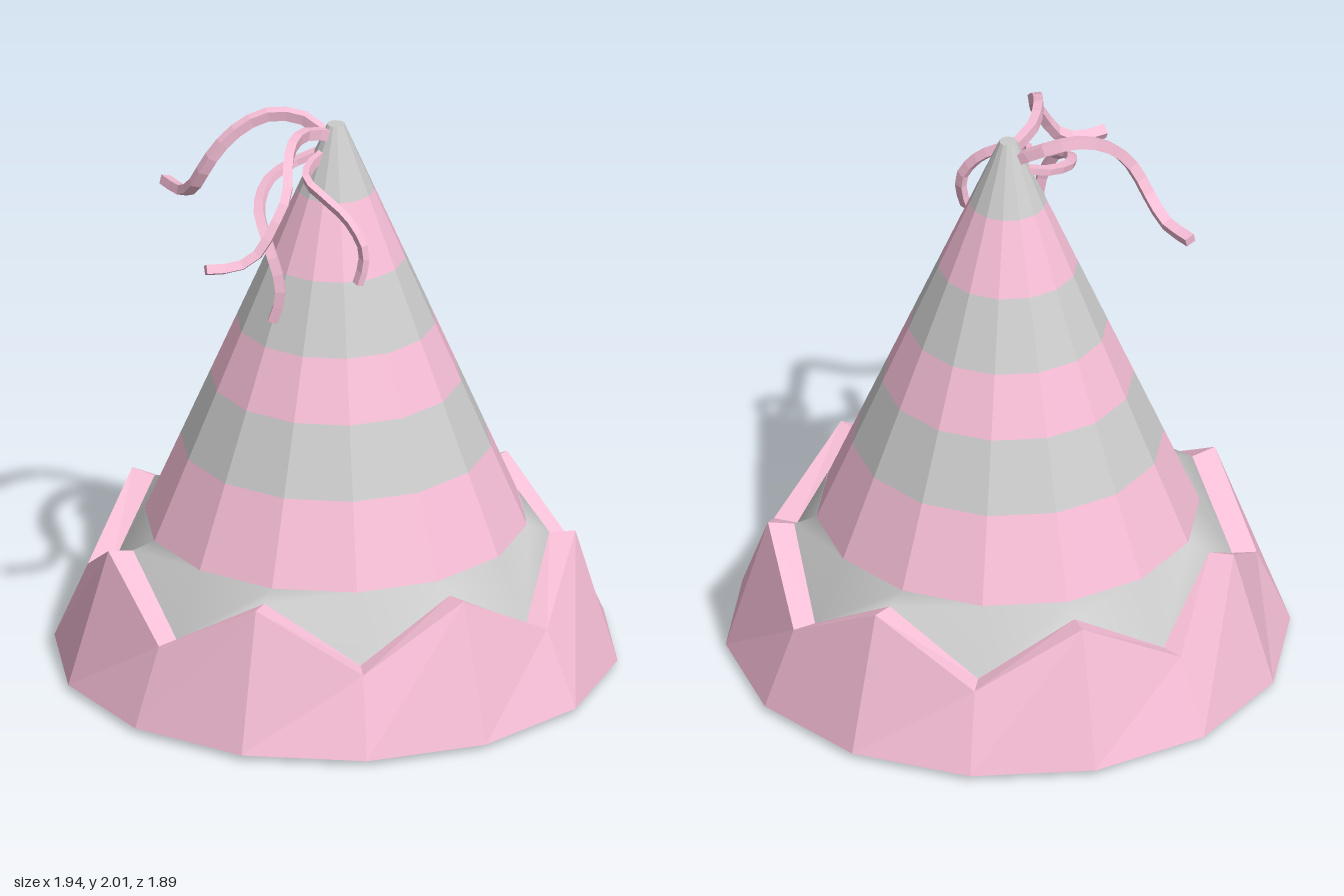
import * as THREE from 'three';
import { mergeVertices } from 'three/addons/utils/BufferGeometryUtils.js';

const SIDES = 14;
const pink = new THREE.MeshStandardMaterial({ color: 0xf6bed6, flatShading: true });
const grey = new THREE.MeshStandardMaterial({ color: 0xcccccc, flatShading: true });
const greySmooth = new THREE.MeshStandardMaterial({ color: 0xcccccc });

// Joins a list of closed rings of points with triangles.
function loft(rings) {
  const pos = [];
  for (let i = 0; i < rings.length - 1; i++) {
    const a = rings[i], b = rings[i + 1], n = a.length;
    for (let k = 0; k < n; k++) {
      const m = (k + 1) % n;
      for (const p of [a[k], b[k], a[m], a[m], b[k], b[m]]) pos.push(p.x, p.y, p.z);
    }
  }
  const g = new THREE.BufferGeometry();
  g.setAttribute('position', new THREE.Float32BufferAttribute(pos, 3));
  g.computeVertexNormals();
  return g;
}

// Horizontal ring; odd corners may take their own radius and height (zigzag).
function ring(r, y, rOdd = r, yOdd = y) {
  return Array.from({ length: SIDES }, (_, k) => {
    const a = (k / SIDES) * Math.PI * 2, R = k % 2 ? rOdd : r;
    return new THREE.Vector3(R * Math.cos(a), k % 2 ? yOdd : y, R * Math.sin(a));
  });
}

// Rectangular strip swept along a curve, with closed ends.
function streamer(points, width, thickness) {
  const curve = new THREE.CatmullRomCurve3(points.map(p => new THREE.Vector3(...p)));
  const steps = 14;
  const { normals, binormals } = curve.computeFrenetFrames(steps);
  const rings = [];
  for (let i = 0; i <= steps; i++) {
    const c = curve.getPointAt(i / steps);
    const section = [[1, 1], [-1, 1], [-1, -1], [1, -1]].map(([u, v]) => c.clone()
      .addScaledVector(normals[i], u * width / 2)
      .addScaledVector(binormals[i], -v * thickness / 2));
    const tip = [c, c, c, c];
    if (i === 0) rings.push(tip);
    rings.push(section);
    if (i === steps) rings.push(tip);
  }
  return loft(rings);
}

export function createModel() {
  const hat = new THREE.Group();
  hat.name = 'partyHat';
  const add = (name, geometry, material) => {
    const mesh = new THREE.Mesh(geometry, material);
    mesh.name = name;
    hat.add(mesh);
  };

  // striped cone
  const coneRadius = y => 0.03 + (1.98 - y) * 0.428;
  const levels = [0.51, 0.8, 1.04, 1.25, 1.49, 1.74, 1.98];
  for (let i = 0; i < levels.length - 1; i++) {
    const [y0, y1] = [levels[i], levels[i + 1]];
    add('coneStripe' + (i + 1), loft([ring(coneRadius(y0), y0), ring(coneRadius(y1), y1)]),
      i % 2 ? grey : pink);
  }
  add('coneTip', loft([ring(0.03, 1.98), ring(0, 1.98)]), grey);

  // hollow inside and underside of the rim
  add('coneInside', loft([ring(0, 1.93), ring(0.8, 0.05), ring(0.84, 0), ring(0.97, 0.02)]), grey);

  // brim with a zigzag top edge
  const outerEdge = ring(0.855, 0.29, 0.825, 0.5);
  const innerEdge = ring(0.77, 0.29, 0.735, 0.49);
  add('brim', loft([ring(0.97, 0.02), outerEdge, innerEdge]), pink);

  // skirt between the brim and the cone
  const skirt = loft([innerEdge, ring(coneRadius(0.51), 0.515)]);
  skirt.deleteAttribute('normal');
  const smoothSkirt = mergeVertices(skirt);
  smoothSkirt.computeVertexNormals();
  add('skirt', smoothSkirt, greySmooth);

  // streamers hanging from the tip
  const paths = [
    [[-0.01, 1.91, -0.02], [-0.08, 1.97, -0.1], [-0.2, 1.985, -0.14], [-0.32, 1.93, -0.15],
      [-0.4, 1.84, -0.16], [-0.44, 1.73, -0.21], [-0.45, 1.67, -0.3], [-0.47, 1.66, -0.43]],
    [[-0.01, 1.94, 0], [-0.12, 1.975, 0.04], [-0.2, 1.985, 0.13], [-0.25, 1.96, 0.22],
      [-0.29, 1.88, 0.32], [-0.35, 1.79, 0.355], [-0.41, 1.7, 0.36], [-0.48, 1.66, 0.35], [-0.59, 1.66, 0.34]],
    [[-0.02, 1.88, -0.03], [-0.14, 1.84, -0.04], [-0.24, 1.81, 0], [-0.32, 1.76, 0.12],
      [-0.335, 1.69, 0.25], [-0.31, 1.56, 0.305], [-0.31, 1.49, 0.305], [-0.33, 1.41, 0.29]],
    [[-0.02, 1.89, 0], [-0.11, 1.86, 0.05], [-0.15, 1.84, 0.13], [-0.12, 1.81, 0.21],
      [-0.06, 1.75, 0.29], [-0.02, 1.66, 0.34], [-0.02, 1.6, 0.345], [-0.04, 1.53, 0.345]],
  ];
  paths.forEach((p, i) => add('streamer' + (i + 1),
    streamer(p, i < 2 ? 0.038 : 0.034, i < 2 ? 0.032 : 0.024), pink));

  return hat;
}
